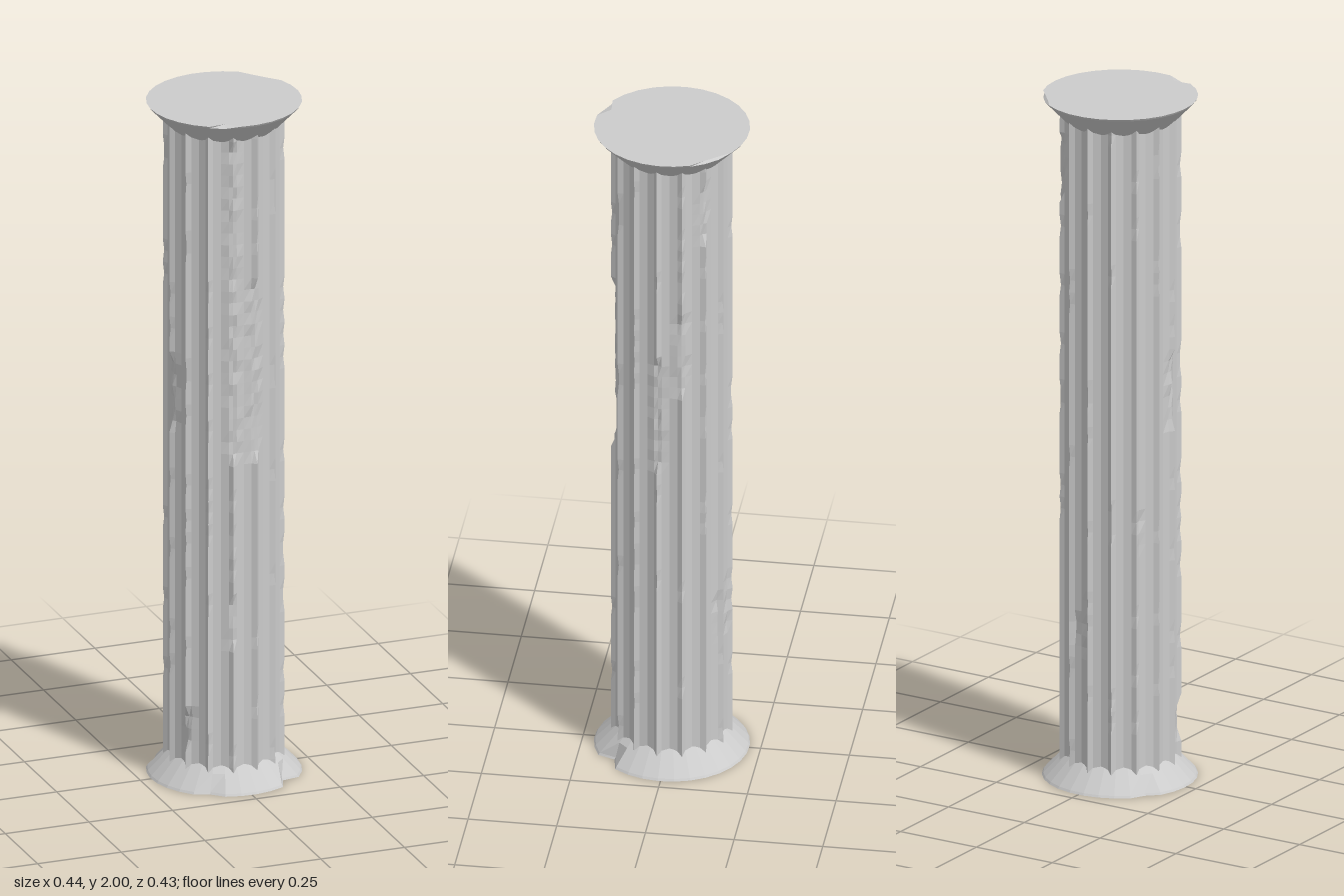
import * as THREE from 'three';

const FLUTES = 15;
const RIDGE = 0.171, VALLEY = 0.153;
const stone = new THREE.MeshStandardMaterial({ color: 0xcccccc, flatShading: true });

// Repeatable noise in 0..1
const hash = (a, b) => {
  const s = Math.sin(a * 127.1 + b * 311.7) * 43758.5453;
  return s - Math.floor(s);
};
// Signed difference between two angles in degrees
const angleGap = (a, b) => ((a - b + 540) % 360 + 360) % 360 - 180;

// Worn patches on the shaft: angle, height, half angle, half height
const patches = [
  [-12, 1.45, 17, 0.46], [-20, 1.17, 12, 0.14], [10, 1.25, 7, 0.26],
  [88, 1.15, 14, 0.18], [236, 0.74, 7, 0.08], [168, 0.48, 9, 0.07],
  [147, 0.46, 9, 0.08], [-20, 0.5, 9, 0.08], [132, 1.8, 7, 0.1],
  [108, 1.35, 6, 0.12], [-84, 1.15, 6, 0.1], [-60, 0.17, 6, 0.05],
];

// Moves each vertex of an upright cylinder to (radius, height) given by a rule
function shapeCylinder(sides, rows, open, rule) {
  const geo = new THREE.CylinderGeometry(1, 1, rows, sides, rows, open);
  const p = geo.attributes.position;
  for (let i = 0; i < p.count; i++) {
    const x = p.getX(i), z = p.getZ(i);
    const row = Math.round(rows / 2 - p.getY(i));
    const rim = Math.hypot(x, z) > 0.5;
    const col = ((Math.round(Math.atan2(x, z) / (2 * Math.PI) * sides) % sides) + sides) % sides;
    const [deg, r, y] = rule(col, row);
    const a = THREE.MathUtils.degToRad(deg);
    p.setXYZ(i, rim ? Math.sin(a) * r : 0, y, rim ? Math.cos(a) * r : 0);
  }
  geo.computeVertexNormals();
  return geo;
}

// Fluted shaft: one ridge and three hollow points per flute, worn in patches
function makeShaft() {
  const rows = 56, sides = FLUTES * 4;
  const offsets = [0, 4, 12, 20];
  const radii = [RIDGE, 0.159, VALLEY, 0.159];
  const geo = shapeCylinder(sides, rows, true, (col, row) => {
    const k = col % 4;
    const deg = Math.floor(col / 4) * (360 / FLUTES) + offsets[k] - 12;
    const y = 1.97 - 1.94 * row / rows;
    let r = radii[k];
    // light wear along the ridges
    if (k === 0 && hash(col, row) > 0.85) r -= 0.004;
    for (const [pa, py, ha, hh] of patches) {
      if (Math.abs(angleGap(deg, pa)) < ha && Math.abs(y - py) < hh) {
        r = Math.min(r, VALLEY + 0.009 * hash(col + 3, row + 7));
      }
    }
    return [deg, r, y];
  });
  return new THREE.Mesh(geo, stone);
}

// Flared end: profile lists [radius, height] from the top row down;
// chips list [angle, half angle, depth, first row, last row]
function makeFlare(profile, chips) {
  const geo = shapeCylinder(FLUTES * 2, profile.length - 1, false, (col, row) => {
    const deg = col * 12 + 4;
    let [r, y] = profile[row];
    for (const [a, half, depth, from, to] of chips) {
      if (Math.abs(angleGap(deg, a)) < half && row >= from && row <= to) r -= depth;
    }
    return [deg, r, y];
  });
  return new THREE.Mesh(geo, stone);
}

export function createModel() {
  const group = new THREE.Group();
  group.name = 'flutedColumn';

  const shaft = makeShaft();
  shaft.name = 'shaft';

  const flare = [[0.218, 0], [0.214, 0.006], [0.172, 0.05], [0.148, 0.075]];

  const capital = makeFlare(
    flare.map(([r, d]) => [r, 2 - d]),
    [[-20, 11, 0.026, 0, 0], [130, 8, 0.011, 0, 0]]
  );
  capital.name = 'capital';

  const base = makeFlare(
    flare.map(([r, d]) => [r, d]).reverse(),
    [[38, 7, 0.03, 2, 3], [-32, 6, 0.014, 2, 3], [-128, 6, 0.012, 2, 3]]
  );
  base.name = 'base';

  group.add(shaft, capital, base);
  return group;
}
